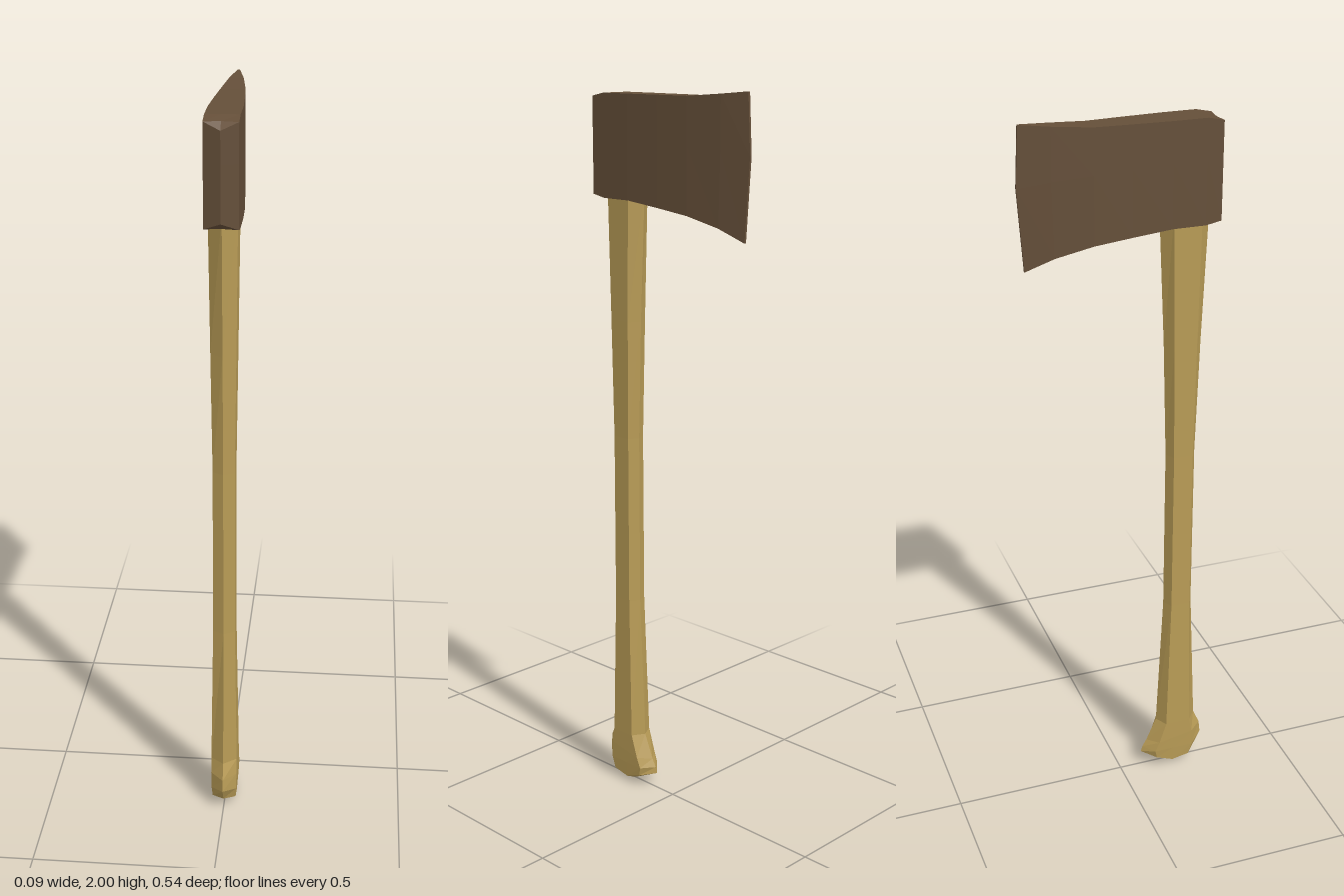
import * as THREE from 'three';

// Skin a list of equal-sized rings (counter-clockwise seen from the end ring),
// closing each end with a fan around the given pole points.
function loft(rings, startPole, endPole) {
  const pos = [];
  const tri = (a, b, c) => pos.push(...a, ...b, ...c);
  const n = rings[0].length;
  const last = rings[rings.length - 1];
  for (let j = 0; j < n; j++) {
    const k = (j + 1) % n;
    for (let i = 0; i < rings.length - 1; i++) {
      const lo = rings[i], hi = rings[i + 1];
      tri(lo[j], lo[k], hi[k]);
      tri(lo[j], hi[k], hi[j]);
    }
    tri(startPole, rings[0][k], rings[0][j]);
    tri(endPole, last[j], last[k]);
  }
  const geo = new THREE.BufferGeometry();
  geo.setAttribute('position', new THREE.Float32BufferAttribute(pos, 3));
  geo.computeVertexNormals();
  return geo;
}

function part(name, geo, color) {
  const mesh = new THREE.Mesh(geo, new THREE.MeshStandardMaterial({ color, flatShading: true }));
  mesh.name = name;
  return mesh;
}

// Hexagonal handle section with flat sides and a ridge front and back.
// ys gives the heights of front ridge, front corner, side middle, back corner, back ridge.
function handleRing(ys, w, [front, sideFront, sideBack, back]) {
  const mid = (sideFront + sideBack) / 2;
  const half = [[sideFront, ys[1]], [mid, ys[2]], [sideBack, ys[3]]];
  return [
    [0, ys[0], front],
    ...half.map(([z, y]) => [w, y, z]),
    [0, ys[4], back],
    ...half.reverse().map(([z, y]) => [-w, y, z]),
  ];
}

function createHandle() {
  const level = (y) => [y, y, y, y, y];
  const rings = [
    handleRing([0.03, 0.025, 0.015, 0.035, 0.045], 0.033, [0.228, 0.207, 0.105, 0.065]), // heel
    handleRing([0.075, 0.06, 0.06, 0.06, 0.062], 0.035, [0.257, 0.217, 0.1, 0.07]),
    handleRing([0.11, 0.11, 0.1, 0.09, 0.085], 0.036, [0.253, 0.215, 0.112, 0.083]),
    handleRing(level(0.155), 0.036, [0.234, 0.206, 0.133, 0.113]), // neck of the swell
    handleRing(level(0.57), 0.03, [0.216, 0.2, 0.145, 0.131]),
    handleRing(level(1.05), 0.029, [0.216, 0.2, 0.145, 0.131]),
    handleRing(level(1.38), 0.033, [0.226, 0.203, 0.139, 0.121]),
    handleRing(level(1.75), 0.037, [0.241, 0.208, 0.13, 0.104]), // socketed in the head
  ];
  return part('handle', loft(rings, [0, 0, 0.155], [0, 1.75, 0.17]), 0xb99c56);
}

function createHead() {
  // Each station: half width, bottom / top height, z at bottom, middle, top, z on the centre line
  const stations = [
    [0.003, 1.628, 2.0, -0.255, -0.27, -0.262, null], // cutting edge
    [0.019, 1.66, 1.993, -0.18, -0.185, -0.185, null],
    [0.032, 1.685, 1.985, -0.08, -0.08, -0.08, null],
    [0.038, 1.698, 1.985, 0.02, 0.02, 0.02, null],
    [0.043, 1.71, 1.985, 0.125, 0.125, 0.125, null],
    [0.043, 1.71, 1.985, 0.215, 0.215, 0.215, null],
    [0.043, 1.718, 1.976, 0.257, 0.257, 0.257, 0.25],
    [0, 1.735, 1.958, 0.271, 0.271, 0.271, null], // ridge of the poll
  ];
  const rings = stations.map(([w, yb, yt, zb, zm, zt, zc]) => {
    const ym = (yb + yt) / 2 + 0.03;
    return [
      [0, yb, zc ?? zb], [w, yb, zb], [w, ym, zm], [w, yt, zt],
      [0, yt, zc ?? zt], [-w, yt, zt], [-w, ym, zm], [-w, yb, zb],
    ];
  });
  return part('axeHead', loft(rings, [0, 1.85, -0.27], [0, 1.85, 0.271]), 0x654f39);
}

export function createModel() {
  const axe = new THREE.Group();
  axe.name = 'axe';
  axe.add(createHandle(), createHead());
  return axe;
}
